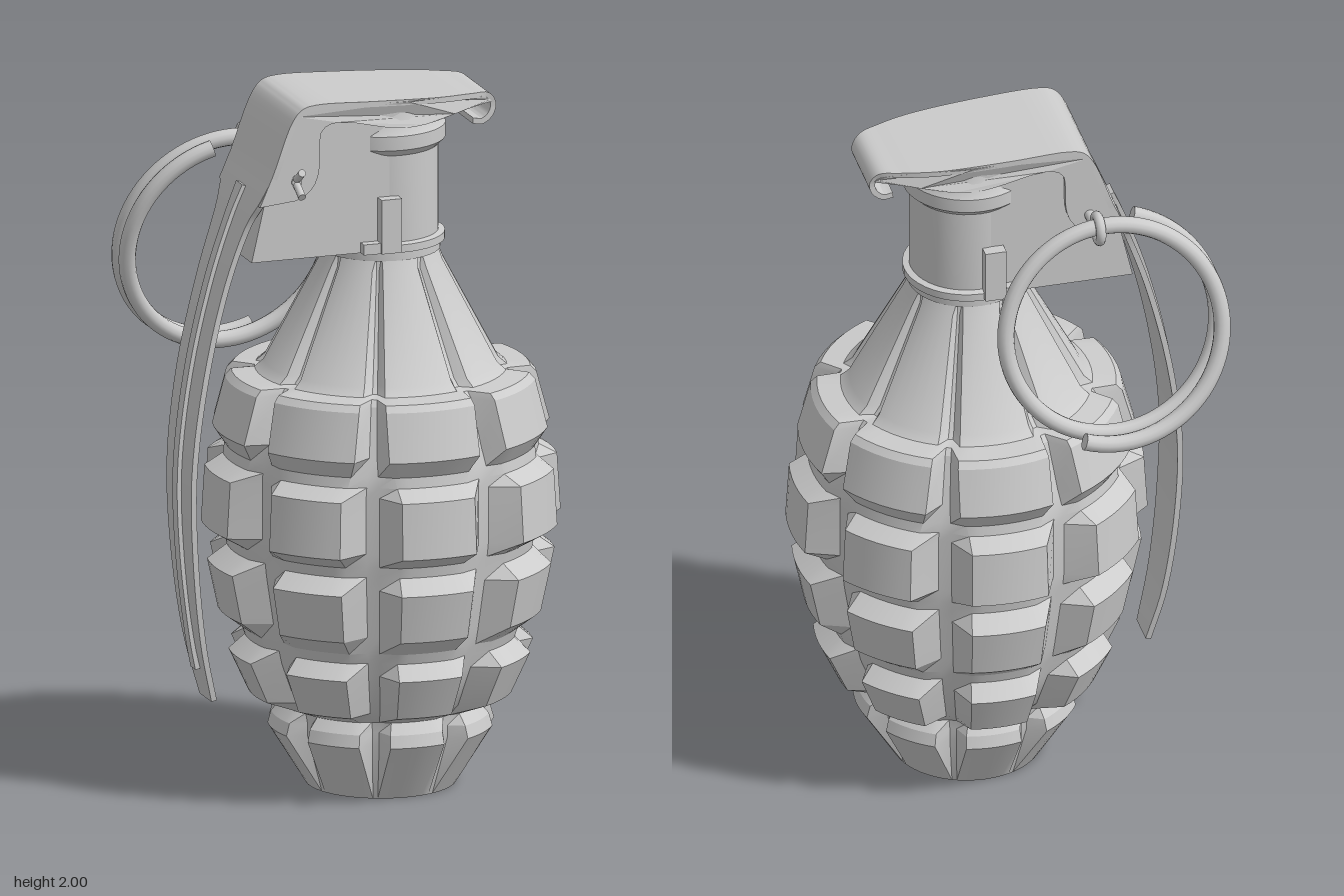
import * as THREE from 'three';
import { toCreasedNormals } from 'three/addons/utils/BufferGeometryUtils.js';

const AXIS = 0.08; // x of the body's vertical axis
const grey = new THREE.MeshStandardMaterial({ color: 0xcccccc, side: THREE.DoubleSide });

function add(group, name, geometry, x = 0, y = 0, z = 0) {
  const mesh = new THREE.Mesh(geometry, grey);
  mesh.name = name;
  mesh.position.set(x, y, z);
  group.add(mesh);
  return mesh;
}

// Skin closed cross-sections (counter-clockwise seen from ahead), capping both ends
function loft(rows, crease) {
  const n = rows[0].length, index = [];
  for (let i = 0; i < rows.length - 1; i++) {
    for (let j = 0; j < n; j++) {
      const a = i * n + j, b = i * n + (j + 1) % n;
      index.push(a, b, b + n, a, b + n, a + n);
    }
  }
  const last = (rows.length - 1) * n;
  for (let j = 1; j < n - 1; j++) index.push(0, j + 1, j, last, last + j, last + j + 1);
  const g = new THREE.BufferGeometry();
  g.setAttribute('position', new THREE.Float32BufferAttribute(rows.flat(2), 3));
  g.setIndex(index);
  return toCreasedNormals(g, crease);
}

// Eight-lobed body: height, lobe radius, groove radius, groove half angle in degrees
function bodyGeometry() {
  const profile = [
    [0, 0.21, 0.21, 3], [0.17, 0.315, 0.265, 8], [0.205, 0.305, 0.265, 8],
    [0.235, 0.28, 0.27, 9], [0.27, 0.37, 0.305, 10], [0.39, 0.425, 0.355, 10],
    [0.43, 0.38, 0.365, 10], [0.46, 0.39, 0.375, 10], [0.51, 0.455, 0.385, 10],
    [0.65, 0.485, 0.41, 10], [0.69, 0.43, 0.415, 10], [0.72, 0.435, 0.42, 10],
    [0.76, 0.502, 0.425, 10], [0.92, 0.492, 0.425, 10], [0.95, 0.44, 0.425, 9],
    [0.98, 0.435, 0.42, 8], [1.03, 0.468, 0.405, 6], [1.165, 0.432, 0.365, 5],
    [1.183, 0.415, 0.35, 5], [1.188, 0.35, 0.315, 5], [1.21, 0.325, 0.295, 5],
    [1.5, 0.172, 0.158, 5], [1.545, 0.155, 0.155, 4],
  ];
  const rows = profile.map(([y, r, rg, hw]) => {
    const loop = [];
    const put = (deg, rad) => {
      const a = THREE.MathUtils.degToRad(deg);
      loop.push([rad * Math.sin(a), y, rad * Math.cos(a)]);
    };
    for (let k = 0; k < 8; k++) {
      const start = k * 45 - 22.5;
      put(start - hw * 0.25, rg);
      put(start + hw * 0.25, rg);
      for (let s = 0; s <= 6; s++) put(start + hw + (45 - 2 * hw) * s / 6, r);
    }
    return loop;
  });
  return loft(rows, 0.4);
}

// Half width of the lever towards its nose
const noseWidth = x => 0.17 - 0.07 * (Math.max(0, x - 0.05) / 0.33) ** 2;

// Flat strip along a path of [x, y, half width]; the path is its outer face
function strip(points, thickness, lift = 0, steps = 90) {
  const curve = new THREE.CatmullRomCurve3(points.map(p => new THREE.Vector3(...p)), false, 'centripetal');
  const rows = [];
  for (let i = 0; i <= steps; i++) {
    const p = curve.getPoint(i / steps), t = curve.getTangent(i / steps);
    const len = Math.hypot(t.x, t.y), ox = t.y / len, oy = -t.x / len;
    const at = (d, z) => [p.x + ox * d, p.y + oy * d, z];
    rows.push([at(lift, p.z), at(lift, -p.z), at(lift - thickness, -p.z), at(lift - thickness, p.z)]);
  }
  return loft(rows, 0.6);
}

function extrude(shape, depth) {
  return new THREE.ExtrudeGeometry(shape, { depth, bevelEnabled: false, curveSegments: 10 })
    .translate(0, 0, -depth / 2);
}

function tube(points, radius, segments) {
  const curve = new THREE.CatmullRomCurve3(points.map(p => new THREE.Vector3(...p)));
  return new THREE.TubeGeometry(curve, segments, radius, 12);
}

// Tube ends are open, so close them with small balls flattened into caps
function capEnds(group, name, points, radius) {
  for (const [end, next] of [[points[0], points[1]], [points.at(-1), points.at(-2)]]) {
    const cap = add(group, name, new THREE.CircleGeometry(radius, 12), ...end);
    cap.lookAt(2 * end[0] - next[0], 2 * end[1] - next[1], 2 * end[2] - next[2]);
  }
}

export function createModel() {
  const model = new THREE.Group();
  model.name = 'grenade';

  add(model, 'body', bodyGeometry(), AXIS);

  // Fuze: collar, neck and flange turned as one, with a block reaching back under the lever
  const neck = [[0, 1.53], [0.165, 1.53], [0.165, 1.553], [0.178, 1.556], [0.178, 1.578], [0.16, 1.582],
    [0.16, 1.83], [0.18, 1.85], [0.18, 1.89], [0.165, 1.91], [0.155, 1.96], [0, 1.96]];
  add(model, 'neck', toCreasedNormals(
    new THREE.LatheGeometry(neck.map(p => new THREE.Vector2(...p)), 40), 0.5), AXIS);
  const head = new THREE.Shape([[-0.355, 1.56], [0.08, 1.56], [0.08, 1.97], [-0.2, 1.98],
    [-0.24, 1.95], [-0.3, 1.8]].map(p => new THREE.Vector2(...p)));
  add(model, 'fuzeHead', extrude(head, 0.314));

  // Safety lever: curled nose, flat top and long curved tail
  const tail = [[-0.36, 1.66, 0.125], [-0.42, 1.48, 0.11], [-0.48, 1.22, 0.11], [-0.512, 0.95, 0.105],
    [-0.505, 0.7, 0.095], [-0.475, 0.45, 0.075], [-0.435, 0.28, 0.05]];
  add(model, 'lever', strip([
    [0.315, 1.885, 0.1], [0.345, 1.882, 0.1], [0.375, 1.905, 0.1], [0.383, 1.94, 0.1],
    [0.36, 1.972, noseWidth(0.36)], [0.3, 1.98, noseWidth(0.3)], [0.2, 1.985, noseWidth(0.2)],
    [0, 1.995, 0.17], [-0.17, 2, 0.17], [-0.21, 1.99, 0.17], [-0.24, 1.955, 0.17],
    [-0.3, 1.8, 0.17], [-0.33, 1.735, 0.16], ...tail], 0.016));
  add(model, 'leverRib', strip([[-0.325, 1.745, 0.025],
    ...tail.slice(0, -1).map(([x, y]) => [x, y, 0.02]), [-0.46, 0.37, 0.02]], 0.016, 0.012, 50));

  // Side skirts with a wavy lower edge, bent inward towards the nose
  const skirt = new THREE.Shape();
  skirt.moveTo(-0.335, 1.72);
  skirt.lineTo(-0.23, 1.73);
  skirt.bezierCurveTo(-0.13, 1.76, -0.17, 1.87, -0.155, 1.92);
  skirt.bezierCurveTo(-0.12, 1.98, 0, 1.91, 0.1, 1.91);
  skirt.bezierCurveTo(0.2, 1.91, 0.24, 1.94, 0.37, 1.945);
  skirt.bezierCurveTo(0.36, 1.97, 0.27, 1.985, 0.1, 1.985);
  skirt.lineTo(-0.17, 1.993);
  skirt.quadraticCurveTo(-0.22, 1.99, -0.24, 1.95);
  skirt.lineTo(-0.3, 1.8);
  for (const side of [1, -1]) {
    const g = extrude(skirt, 0.016), pos = g.attributes.position;
    for (let i = 0; i < pos.count; i++) {
      pos.setZ(i, pos.getZ(i) + side * (noseWidth(pos.getX(i)) - 0.008));
    }
    g.computeVertexNormals();
    add(model, side > 0 ? 'frontSkirt' : 'backSkirt', g);
    // Upright tab and foot on each side of the neck
    add(model, 'tab', new THREE.BoxGeometry(0.06, 0.155, 0.04), 0.045, 1.6375, side * 0.172);
    add(model, 'tabFoot', new THREE.BoxGeometry(0.11, 0.03, 0.035), 0.02, 1.575, side * 0.168);
  }

  // Cotter pin with two splayed legs and an eye around the ring
  const pin = new THREE.Group();
  pin.name = 'cotterPin';
  model.add(pin);
  const shaft = add(pin, 'pinShaft', new THREE.CylinderGeometry(0.015, 0.015, 0.41, 12), -0.228, 1.785, -0.03);
  shaft.rotation.x = Math.PI / 2;
  for (const s of [1, -1]) {
    const leg = [[-0.228, 1.785 + s * 0.006, 0.15], [-0.228, 1.785 + s * 0.01, 0.175], [-0.228, 1.787 + s * 0.035, 0.217]];
    add(pin, 'pinLeg', tube(leg, 0.011, 8));
    capEnds(pin, 'pinLegEnd', leg, 0.011);
  }
  const eye = add(pin, 'pinEye', new THREE.TorusGeometry(0.036, 0.014, 10, 24), -0.228, 1.798, -0.265);
  eye.rotation.y = Math.PI / 2;

  // Pull ring: a tilted coil of about one and a half turns
  const coil = [];
  for (let deg = 106; deg <= 651; deg += 5) {
    const a = THREE.MathUtils.degToRad(deg);
    coil.push([-0.255 + 0.305 * Math.cos(a), 1.5 + 0.305 * Math.sin(a),
      -0.28 + 0.07 * Math.sin(a) - 0.06 * (deg - 106) / 360]);
  }
  add(model, 'pullRing', tube(coil, 0.024, 130));
  capEnds(model, 'pullRingEnd', coil, 0.024);

  return model;
}
